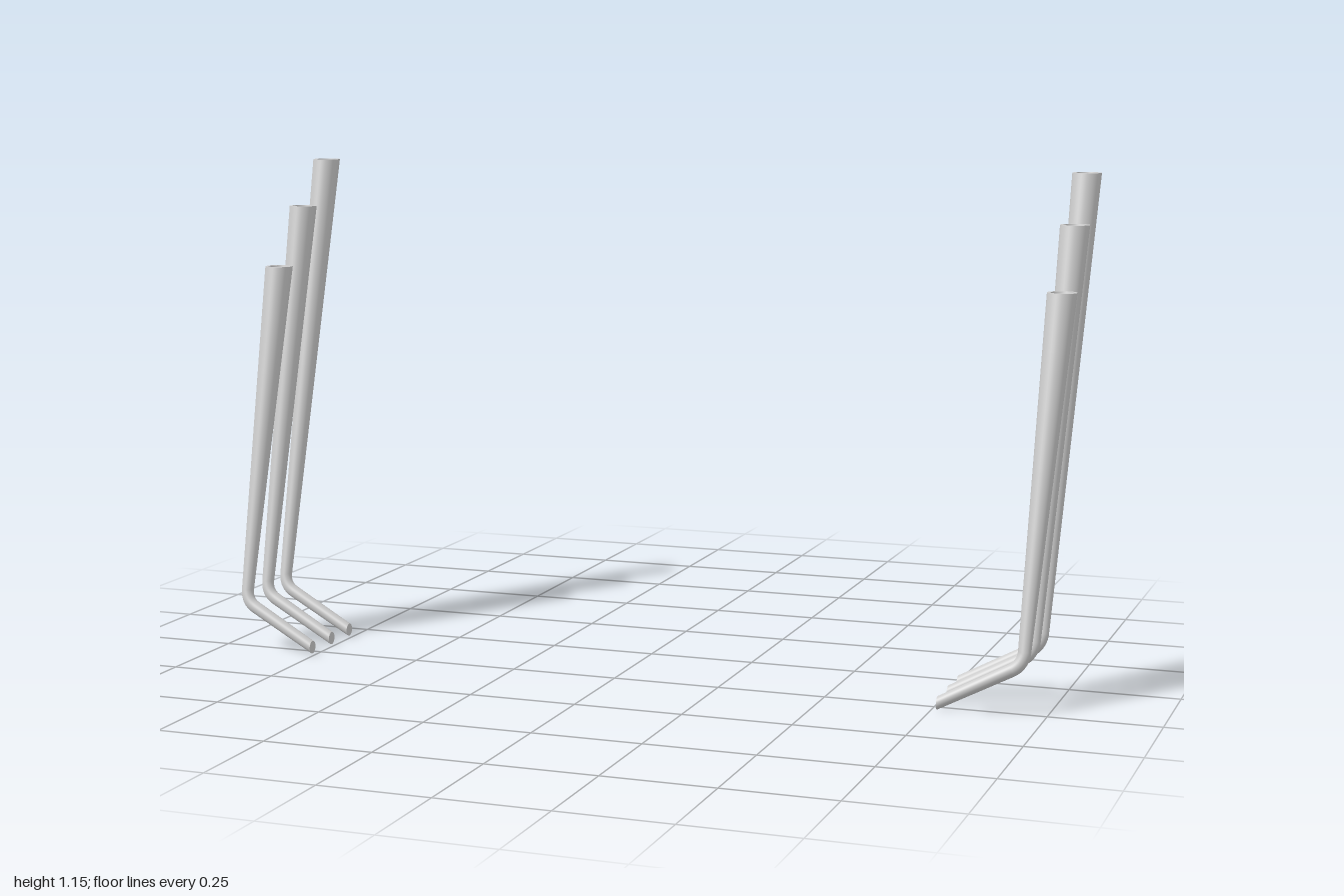
import * as THREE from 'three';
import { mergeGeometries } from 'three/addons/utils/BufferGeometryUtils.js';

const SEGMENTS = 32;

// Skins a run of rings { c: centre, r: radius, a: tilt of the ring's axis from x towards y }.
function strip(rings, side) {
  const positions = [], index = [];
  rings.forEach(({ c, r, a }, i) => {
    for (let j = 0; j < SEGMENTS; j++) {
      const t = (j / SEGMENTS) * Math.PI * 2;
      const u = r * Math.cos(t);
      positions.push(
        side * (c.x - u * Math.sin(a)),
        c.y + u * Math.cos(a),
        c.z + side * r * Math.sin(t)
      );
      if (i === rings.length - 1) continue;
      const k = (j + 1) % SEGMENTS, p = i * SEGMENTS, q = p + SEGMENTS;
      index.push(p + j, p + k, q + j, p + k, q + k, q + j);
    }
  });
  const geometry = new THREE.BufferGeometry();
  geometry.setAttribute('position', new THREE.Float32BufferAttribute(positions, 3));
  geometry.setIndex(index);
  geometry.computeVertexNormals();
  return geometry;
}

// Tapered pipe: short arm, rounded elbow, long leaning stack with a level open mouth.
function pipeGeometry(end, elbow, top, side) {
  const up = Math.PI / 2, armTilt = 0.45;
  const before = elbow.clone().lerp(end, 0.03 / elbow.distanceTo(end));
  const after = elbow.clone().lerp(top, 0.03 / elbow.distanceTo(top));
  const bend = new THREE.QuadraticBezierCurve3(before, elbow, after);

  const outer = [{ c: end, r: 0.015, a: 0 }];
  for (let i = 0; i <= 8; i++) {
    const t = i / 8;
    outer.push({ c: bend.getPoint(t), r: 0.0145, a: THREE.MathUtils.lerp(armTilt, up, t) });
  }
  for (let i = 1; i <= 6; i++) {
    const t = i / 6;
    outer.push({ c: after.clone().lerp(top, t), r: THREE.MathUtils.lerp(0.0145, 0.0335, t), a: up });
  }

  const mouth = { c: top, r: 0.026, a: up };
  const floor = { c: top.clone().lerp(after, 0.5), r: 0.017, a: up };
  return mergeGeometries([
    strip([{ ...outer[0], r: 0 }, outer[0]], side), // closed end of the arm
    strip(outer, side),
    strip([outer[outer.length - 1], mouth], side), // rim
    strip([mouth, floor], side), // bore
    strip([floor, { ...floor, r: 0 }], side)
  ]);
}

export function createModel() {
  const model = new THREE.Group();
  model.name = 'exhaustPipes';
  const material = new THREE.MeshStandardMaterial({ color: 0xcccccc });

  // z of the arm end, elbow and mouth, then height of the mouth
  const pipes = [
    { name: 'front', endZ: 0.27, elbowZ: 0.252, topZ: 0.015, height: 0.9 },
    { name: 'middle', endZ: 0.17, elbowZ: 0.15, topZ: -0.118, height: 1.04 },
    { name: 'rear', endZ: 0.075, elbowZ: 0.057, topZ: -0.25, height: 1.15 }
  ];

  for (const side of [1, -1]) {
    const bank = new THREE.Group();
    bank.name = side > 0 ? 'leftPipes' : 'rightPipes';
    for (const { name, endZ, elbowZ, topZ, height } of pipes) {
      const geometry = pipeGeometry(
        new THREE.Vector3(0.762, 0.017, endZ),
        new THREE.Vector3(0.946, 0.112, elbowZ),
        new THREE.Vector3(0.9665, height, topZ),
        side
      );
      const pipe = new THREE.Mesh(geometry, material);
      pipe.name = name + 'Pipe';
      bank.add(pipe);
    }
    model.add(bank);
  }
  return model;
}
